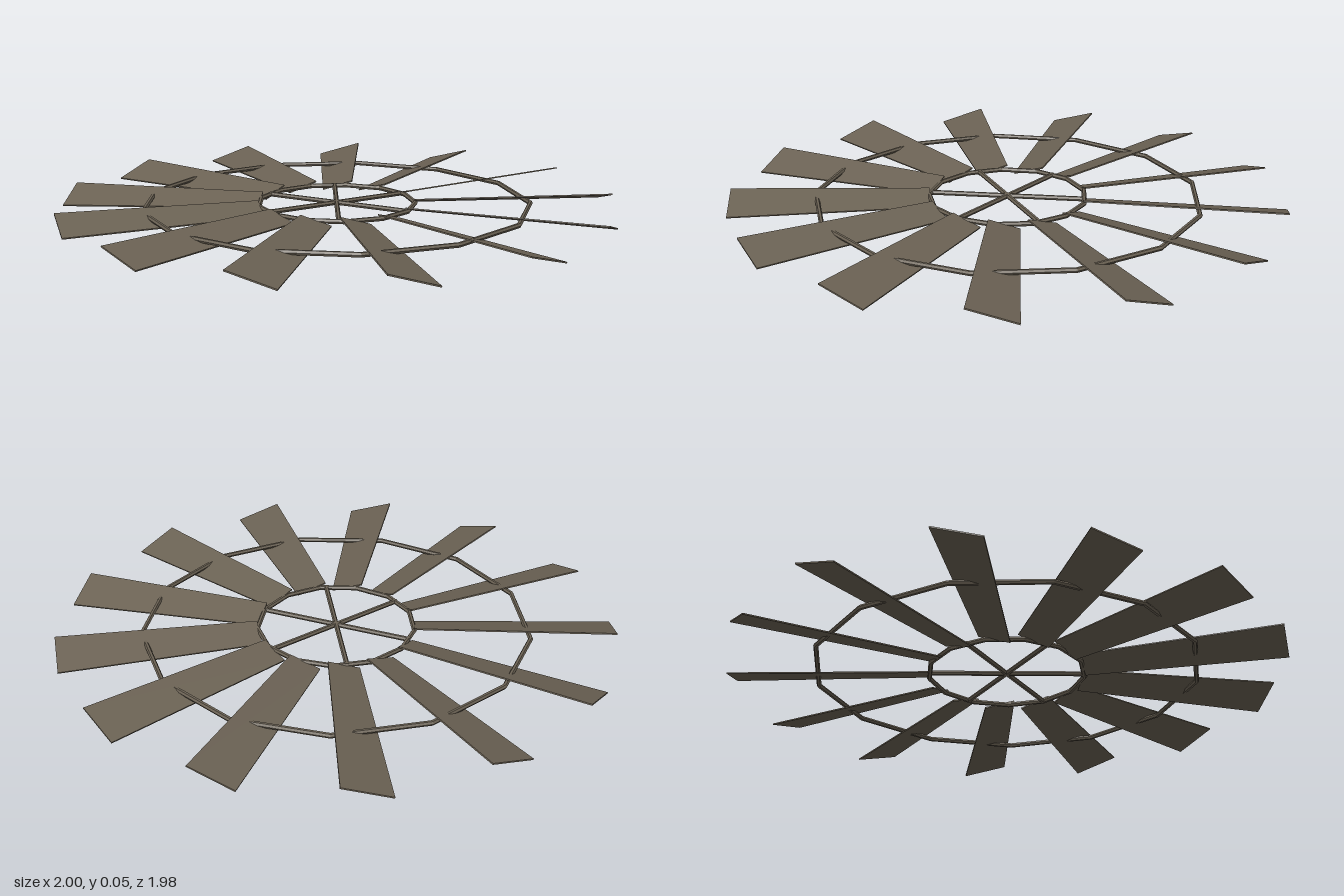
import * as THREE from 'three';

export function createModel() {
  const group = new THREE.Group();
  group.name = 'windmillFan';
  const metal = new THREE.MeshStandardMaterial({ color: 0x6b6254, flatShading: true });
  metal.name = 'weatheredMetal';

  const COUNT = 13, HUB = 0.28, TIP = 0.997, MID = 0.0265;
  const ROOT_WIDTH = 0.115, TIP_WIDTH = 0.172, PITCH = 0.28;

  const add = (name, geometry) => {
    const mesh = new THREE.Mesh(geometry, metal);
    mesh.name = name;
    mesh.position.set(0, MID, 0.004);
    group.add(mesh);
    return mesh;
  };

  // Tapered, pitched blade reaching towards the back
  const blade = new THREE.BoxGeometry(1, 0.005, TIP - HUB);
  blade.translate(0, 0, -(TIP + HUB) / 2);
  const p = blade.attributes.position;
  for (let i = 0; i < p.count; i++) {
    const t = (-p.getZ(i) - HUB) / (TIP - HUB);
    p.setX(i, p.getX(i) * THREE.MathUtils.lerp(ROOT_WIDTH, TIP_WIDTH, t));
  }
  blade.rotateZ(PITCH);
  blade.computeVertexNormals();
  for (let i = 0; i < COUNT; i++) {
    add('blade', blade).rotation.y = (i / COUNT) * Math.PI * 2;
  }

  // Thirteen-sided support rings
  const ring = (name, radius) =>
    add(name, new THREE.TorusGeometry(radius, 0.009, 6, COUNT).rotateX(Math.PI / 2));
  ring('innerRing', 0.284);
  ring('outerRing', 0.698);

  // Three bars crossing at the hub
  const bar = new THREE.CylinderGeometry(0.009, 0.009, 0.565, 6).rotateZ(Math.PI / 2);
  for (let i = 0; i < 3; i++) {
    add('hubSpoke', bar).rotation.y = (i * Math.PI) / 3;
  }

  return group;
}
